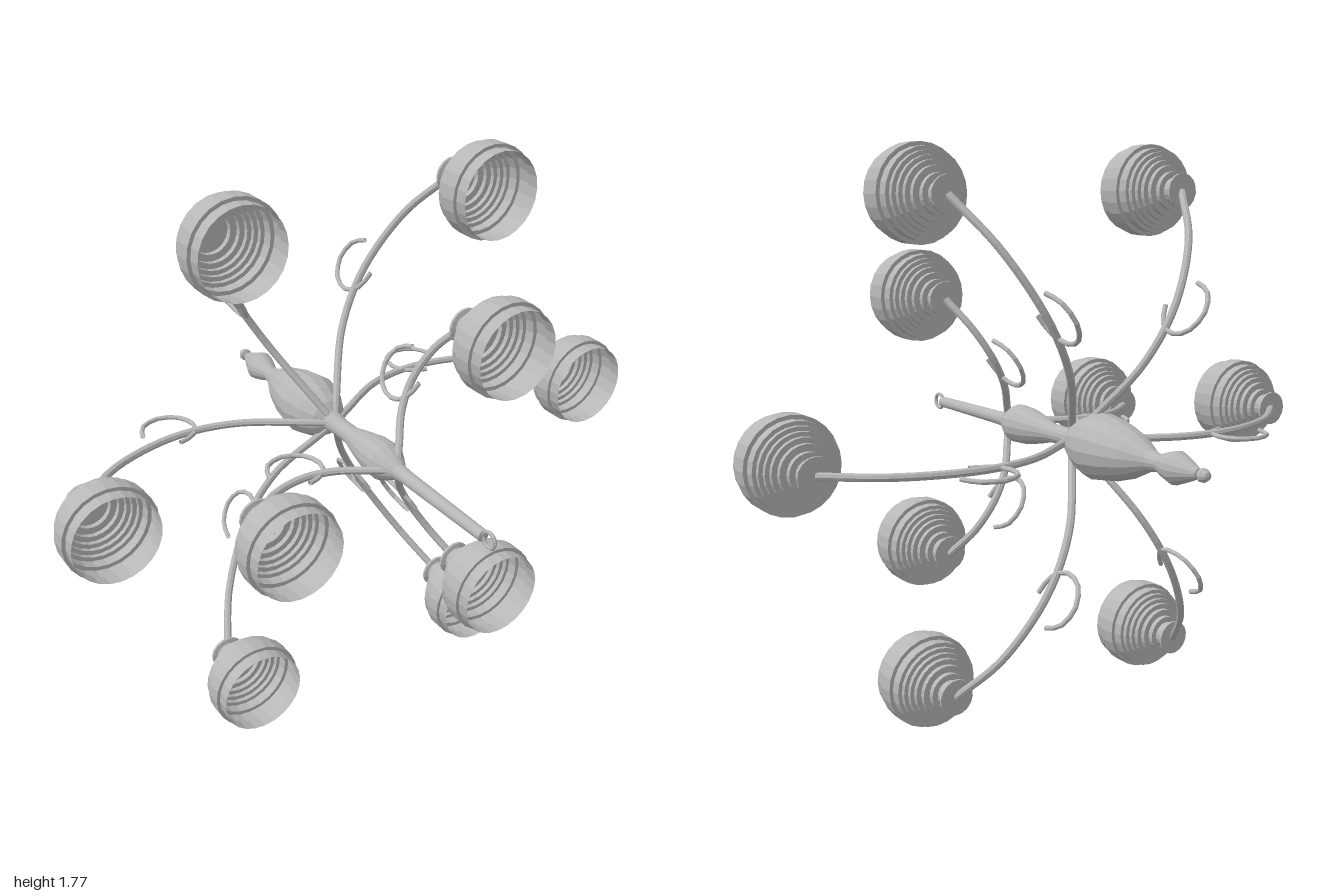
import * as THREE from 'three';

const metal = new THREE.MeshStandardMaterial({ color: 0xb6b6b6, flatShading: true, side: THREE.DoubleSide });
metal.name = 'light grey metal';

function mesh(geometry, name) {
  const m = new THREE.Mesh(geometry, metal);
  m.name = name;
  return m;
}

// Turned part around the z axis; points are [radius, z]
function turned(points, sides, name) {
  const g = new THREE.LatheGeometry(points.map(([r, z]) => new THREE.Vector2(r, z)), sides);
  return mesh(g.rotateX(Math.PI / 2), name);
}

// Bent rod in the plane through the axis; points are [radius, z]
function rod(points, segments, thickness, name) {
  const curve = new THREE.CatmullRomCurve3(points.map(([r, z]) => new THREE.Vector3(r, 0, z)));
  return mesh(new THREE.TubeGeometry(curve, segments, thickness, 8), name);
}

// Stepped bell shade, open towards +z
function makeShade(r, z) {
  const steps = [[0.06, -0.062], [0.08, -0.045], [0.096, -0.029], [0.109, -0.014],
    [0.122, 0], [0.134, 0.015], [0.146, 0.048], [0.135, 0.102]];
  const profile = [[0, -0.062]];
  steps.forEach(([radius, start], i) => {
    const end = i < steps.length - 1 ? steps[i + 1][1] : 0.143;
    profile.push([radius, start], [radius, end]);
  });
  const shade = new THREE.Group();
  shade.name = 'shade';
  shade.add(
    turned(profile, 24, 'shadeBell'),
    turned([[0, -0.104], [0.056, -0.104], [0.056, -0.096], [0.042, -0.092], [0.042, -0.062]], 16, 'shadeCollar')
  );
  shade.position.set(r, 0, z);
  return shade;
}

// One arm with its scroll and shade
function makeArm(path, scrollR, scrollZ, shadeR, shadeZ, angle, name) {
  const arm = new THREE.Group();
  arm.name = name;
  const scroll = [[0.086, 0], [0.062, -0.056], [0, -0.083], [-0.06, -0.056], [-0.083, 0],
    [-0.07, 0.052], [-0.04, 0.08], [0.003, 0.095]].map(([r, z]) => [scrollR + r, scrollZ + z]);
  arm.add(
    rod(path, 24, 0.012, 'armRod'),
    rod(scroll, 12, 0.0075, 'armScroll'),
    makeShade(shadeR, shadeZ)
  );
  arm.rotation.z = angle;
  return arm;
}

export function createModel() {
  const model = new THREE.Group();
  model.name = 'chandelier';
  const body = new THREE.Group();
  body.name = 'body';
  body.position.y = 0.888;
  model.add(body);

  // Central turned column
  body.add(turned([[0, -0.68], [0.015, -0.675], [0.032, -0.635], [0.049, -0.59], [0.038, -0.55],
    [0.025, -0.515], [0.032, -0.48], [0.066, -0.41], [0.09, -0.33], [0.102, -0.25], [0.085, -0.19],
    [0.06, -0.14], [0.034, -0.12], [0.029, -0.06], [0.03, 0], [0.045, 0.06], [0.058, 0.12], [0.062, 0.19],
    [0.045, 0.225], [0.025, 0.26], [0.022, 0.3], [0.018, 0.665], [0, 0.667]], 16, 'column'));
  // Finial at the back end
  body.add(turned([[0, -0.718], [0.012, -0.714], [0.02, -0.7], [0.02, -0.69], [0.008, -0.684], [0.008, -0.67]], 12, 'finial'));
  // Hanging ring at the front end
  const ring = mesh(new THREE.TorusGeometry(0.025, 0.006, 6, 16).rotateY(Math.PI / 2), 'hangingRing');
  ring.position.z = 0.69;
  body.add(ring);

  // Six long arms
  const longPath = [[0.02, -0.115], [0.08, -0.155], [0.27, -0.27], [0.46, -0.298], [0.685, -0.232], [0.855, -0.1]];
  for (let i = 0; i < 6; i++) {
    body.add(makeArm(longPath, 0.467, -0.35, 0.855, 0, i * Math.PI / 3, 'longArm'));
  }
  // Three short arms
  const shortPath = [[0.02, 0.235], [0.07, 0.205], [0.16, 0.152], [0.26, 0.135], [0.373, 0.165], [0.475, 0.24]];
  for (let i = 0; i < 3; i++) {
    body.add(makeArm(shortPath, 0.255, 0.075, 0.475, 0.342, Math.PI / 3 + i * Math.PI * 2 / 3, 'shortArm'));
  }
  return model;
}
